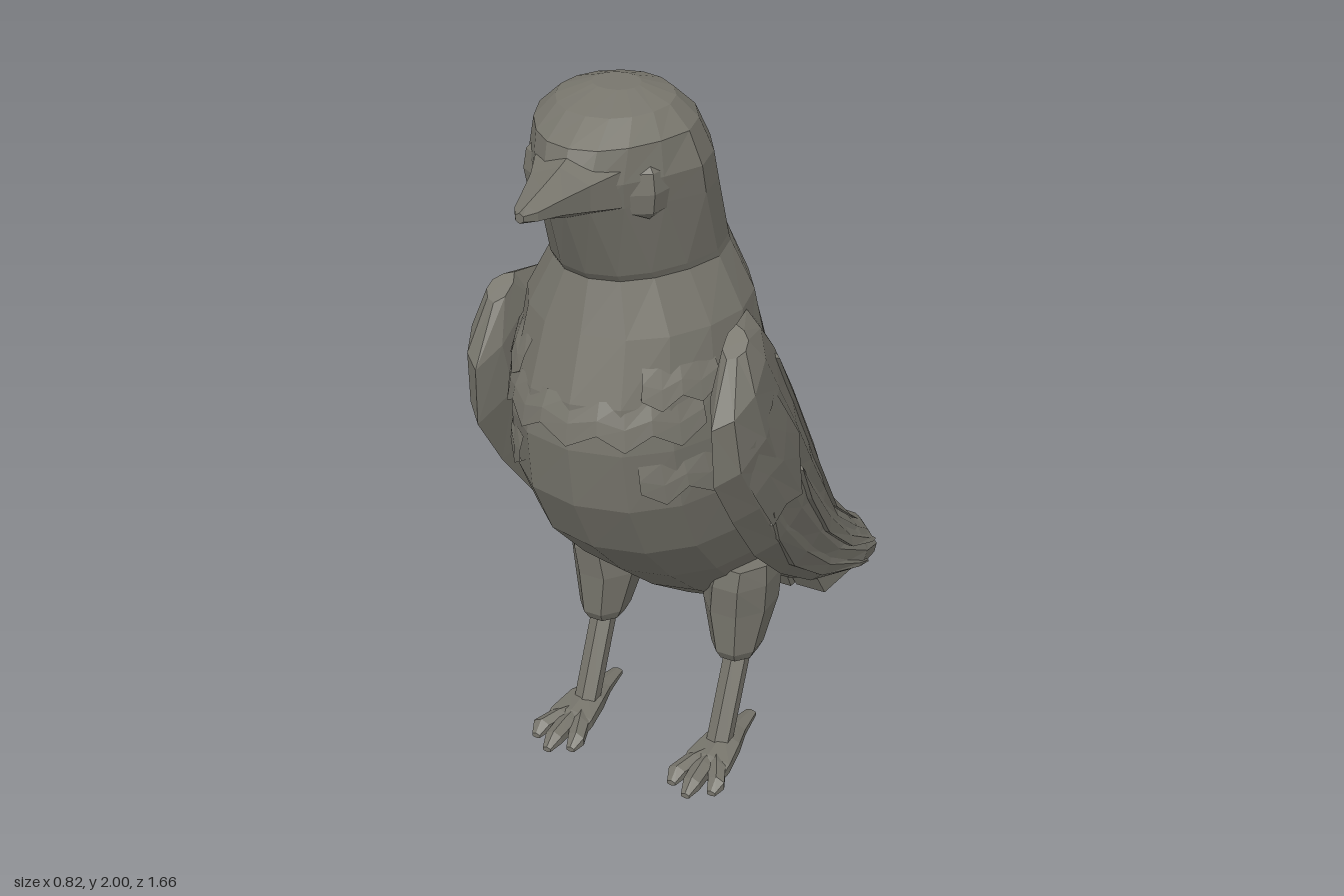
import * as THREE from 'three';

const V = (x, y, z) => new THREE.Vector3(x, y, z);
const lerp = THREE.MathUtils.lerp;
const material = new THREE.MeshStandardMaterial({ color: 0x77756c, flatShading: true, side: THREE.DoubleSide });

// Skin rows of points into a surface; closed rows get capped and faced outwards.
function loft(name, rows, closed = true) {
  const n = rows[0].length, pts = rows.flat(), idx = [];
  const cols = closed ? n : n - 1;
  for (let i = 0; i < rows.length - 1; i++) {
    for (let j = 0; j < cols; j++) {
      const a = i * n + j, b = i * n + (j + 1) % n;
      idx.push(a, b, a + n, b, b + n, a + n);
    }
  }
  if (closed) {
    [0, rows.length - 1].forEach((r, end) => {
      const c = pts.length;
      pts.push(rows[r].reduce((s, p) => s.add(p), V(0, 0, 0)).divideScalar(n));
      for (let j = 0; j < n; j++) {
        const a = r * n + j, b = r * n + (j + 1) % n;
        if (end) idx.push(c, a, b); else idx.push(c, b, a);
      }
    });
    let volume = 0;
    for (let i = 0; i < idx.length; i += 3)
      volume += pts[idx[i]].dot(V(0, 0, 0).crossVectors(pts[idx[i + 1]], pts[idx[i + 2]]));
    if (volume < 0) idx.reverse();
  }
  const geometry = new THREE.BufferGeometry().setFromPoints(pts);
  geometry.setIndex(idx);
  geometry.computeVertexNormals();
  const mesh = new THREE.Mesh(geometry, material);
  mesh.name = name;
  return mesh;
}

// Elliptical ring, lying flat or upright facing z.
function ring(x, y, z, rx, r, n, upright) {
  return Array.from({ length: n }, (_, i) => {
    const a = (i + 0.5) / n * Math.PI * 2, u = Math.cos(a) * rx, v = Math.sin(a) * r;
    return upright ? V(x + u, Math.max(0, y + v), z) : V(x + u, y, z + v);
  });
}

// Body sections: front z, front y, back z, back y, half width, front pinch
const BODY = [
  [0.43, 1.992, 0.33, 1.997, 0.06, 0], [0.53, 1.96, 0.25, 1.972, 0.145, 0.1],
  [0.61, 1.91, 0.19, 1.92, 0.2, 0.25], [0.645, 1.83, 0.14, 1.83, 0.23, 0.42],
  [0.64, 1.77, 0.105, 1.74, 0.23, 0.45], [0.55, 1.57, 0.04, 1.57, 0.222, 0.22],
  [0.535, 1.55, 0.032, 1.55, 0.222, 0.22], [0.58, 1.42, -0.015, 1.42, 0.285, 0.1],
  [0.64, 1.26, -0.09, 1.25, 0.305, 0.05], [0.655, 1.14, -0.145, 1.12, 0.315, 0.02],
  [0.635, 0.97, -0.22, 0.95, 0.32, 0], [0.55, 0.8, -0.3, 0.79, 0.315, 0],
  [0.4, 0.64, -0.37, 0.67, 0.3, 0], [0.23, 0.49, -0.44, 0.57, 0.28, 0],
  [0.02, 0.335, -0.52, 0.45, 0.235, 0], [-0.3, 0.225, -0.61, 0.31, 0.18, 0],
  [-0.55, 0.05, -0.74, 0.09, 0.14, 0],
];

function bodyPoint(s, a, off = 0) {
  const i = Math.min(Math.floor(s), BODY.length - 2);
  const [fz, fy, bz, by, w, pinch] = BODY[i].map((v, k) => lerp(v, BODY[i + 1][k], s - i));
  const c = Math.cos(a), q = Math.sin(a);
  const x = w * Math.sign(q) * Math.abs(q) ** (c < 0 ? 1.05 : 0.88) * (1 - pinch * Math.max(0, c));
  return V(x + off * q, lerp(by, fy, (c + 1) / 2), lerp(bz, fz, (c + 1) / 2) + off * c);
}

// Overlapping breast feathers with a zigzag hem, between two angles round the body
function breastTier(top, hem, zig, from, to, teeth) {
  const row = (f, off) => Array.from({ length: teeth + 1 }, (_, j) =>
    bodyPoint(lerp(top, hem + (j % 2 ? zig : -zig), f), lerp(from, to, j / teeth), off));
  return loft('breastFeathers', [row(0, -0.005), row(0.5, 0.008), row(1, 0.012), row(1, -0.015)], false);
}

// Wing sections: upper edge x, y, z, lower edge x, y, z, outward bulge
const WING = [
  [0.31, 1.425, 0.37, 0.325, 1.37, 0.45, 0.045], [0.285, 1.41, 0.26, 0.33, 1.22, 0.54, 0.09],
  [0.26, 1.31, 0.14, 0.335, 1.06, 0.535, 0.107], [0.235, 1.13, -0.01, 0.335, 0.9, 0.43, 0.112],
  [0.205, 0.93, -0.17, 0.325, 0.71, 0.28, 0.112], [0.165, 0.72, -0.335, 0.31, 0.53, 0.08, 0.11],
  [0.12, 0.49, -0.5, 0.3, 0.365, -0.15, 0.105], [0.085, 0.31, -0.67, 0.295, 0.23, -0.43, 0.108],
  [0.1, 0.21, -0.765, 0.265, 0.16, -0.63, 0.085], [0.15, 0.16, -0.83, 0.2, 0.125, -0.795, 0.012],
];

function wingPoint(side, s, t, off = 0) {
  const i = Math.min(Math.floor(s), WING.length - 2);
  const [ux, uy, uz, lx, ly, lz, b] = WING[i].map((v, k) => lerp(v, WING[i + 1][k], s - i));
  return V(side * (lerp(ux, lx, t) + b * Math.sin(Math.PI * t) ** 0.6 + off), lerp(uy, ly, t), lerp(uz, lz, t));
}

function makeWing(side) {
  const wing = new THREE.Group();
  wing.name = side > 0 ? 'leftWing' : 'rightWing';
  const steps = [0, 0.12, 0.35, 0.65, 0.88, 1];
  wing.add(loft('wingSurface', WING.map((w, s) => [
    ...steps.map(t => wingPoint(side, s, t)),
    ...[0.75, 0.3].map(t => wingPoint(side, s, t, -w[6] - 0.01)),
  ])));
  // Long flight feathers lying along the wing
  [[0.16, 2, 8.2], [0.5, 3.5, 7.9], [0.82, 3.3, 7.2]].forEach(([t, from, to]) => {
    const rows = [0, 0.15, 0.4, 0.65, 0.9, 1].map(f => {
      const s = lerp(from, to, f), h = 0.02 + 0.1 * Math.sin(Math.PI * f);
      return [[t - h, -0.012], [t, 0.004], [t + h, 0.008], [t + h, -0.012]]
        .map(([u, off]) => wingPoint(side, s, THREE.MathUtils.clamp(u, 0, 1), off));
    });
    wing.add(loft('flightFeather', rows));
  });
  // Short coverts with a jagged hem
  const cols = [0.4, 0.5, 0.62, 0.75, 0.88];
  const hem = [3.0, 3.2, 3.7, 3.4, 3.5];
  const row = (f, off) => cols.map((t, j) => wingPoint(side, lerp(1.8, hem[j], f), t, off));
  wing.add(loft('coverts', [row(0, -0.004), row(0.5, 0.004), row(1, 0.01), row(1, -0.015)], false));
  return wing;
}

function makeLeg(side) {
  const leg = new THREE.Group();
  leg.name = side > 0 ? 'leftLeg' : 'rightLeg';
  const x = side * 0.21;
  leg.add(loft('thigh', [
    [0.59, 0.22, 0.1, 0.085, 0.12], [0.53, 0.212, 0.1, 0.097, 0.13], [0.44, 0.203, 0.1, 0.1, 0.12],
    [0.31, 0.207, 0.128, 0.07, 0.083], [0.28, 0.207, 0.13, 0.055, 0.062],
  ].map(([y, cx, z, rx, rz]) => ring(side * cx, y, z, rx, rz, 8))));
  leg.add(loft('shank', [[0.3, 0.12], [0.03, 0.245]]
    .map(([y, z]) => ring(x, y, z, 0.037, 0.037, 6))));
  leg.add(loft('footPad', [[0.05, 0.018, 0.01], [0.15, 0.035, 0.02], [0.23, 0.06, 0.032], [0.32, 0.075, 0.027], [0.37, 0.07, 0.015]]
    .map(([z, rx, ry]) => ring(x + side * 0.006, ry * 0.87, z, rx, ry, 6, true))));
  // Three toes pointing forward
  [[-0.052, 0.43], [0.006, 0.46], [0.064, 0.42]].forEach(([dx, endZ]) => {
    const rows = [[0, 0.024, 0.024], [0.45, 0.031, 0.027], [0.8, 0.028, 0.023], [1, 0.014, 0.009]];
    leg.add(loft('toe', rows.map(([f, rx, ry]) =>
      ring(x + side * dx * Math.min(1, f * 1.3), ry * 0.87, lerp(0.26, endZ, f), rx, ry, 6, true))));
  });
  return leg;
}

// Tail feather: broad blade running down to the ground
function tailFeather(x0, x1, half, lift) {
  const rows = [[0.38, -0.37, 0.7], [0.24, -0.53, 1], [0.1, -0.65, 1.05], [0, -0.7, 1]].map(([y, z, w], i) => {
    const x = lerp(x0, x1, i / 3), h = half * w, d = [0.06, 0.075, 0.08, 0.09][i] + lift;
    return [[-h, 0.65], [-h * 0.5, 0.95], [h * 0.5, 0.95], [h, 0.65], [h * 0.7, -1.1], [-h * 0.7, -1.1]]
      .map(([u, v]) => V(x + u, y + (i < 3 ? v * 0.03 : 0), z - v * d));
  });
  return loft('tailFeather', rows);
}

export function createModel() {
  const bird = new THREE.Group();
  bird.name = 'bird';

  bird.add(loft('body', BODY.map((_, s) =>
    Array.from({ length: 16 }, (_, j) => bodyPoint(s, j / 16 * Math.PI * 2)))));
  bird.add(breastTier(7.9, 8.7, 0.17, -1.05, 1.05, 10));

  // Beak with a ridged top and blunt tip
  bird.add(loft('beak', [
    [1.815, 0.57, 0.13, 0.09], [1.818, 0.65, 0.09, 0.063], [1.824, 0.73, 0.06, 0.038],
    [1.826, 0.8, 0.035, 0.021], [1.828, 0.83, 0.012, 0.013],
  ].map(([y, z, rx, ry]) => ring(0, y, z, rx, ry, 6, true))));

  for (const side of [1, -1]) {
    // Faceted diamond eye set in the side of the head
    const eye = new THREE.Mesh(new THREE.SphereGeometry(0.07, 4, 4), material);
    eye.name = 'eye';
    eye.position.copy(bodyPoint(3.5, side * 1.05, -0.008));
    eye.scale.set(0.4, 1, 0.9);
    eye.rotation.y = -side * 0.6;
    bird.add(eye, makeWing(side), makeLeg(side), tailFeather(side * 0.08, side * 0.105, 0.068, 0));
    // Side tufts above and below the breast band
    bird.add(breastTier(7.4, 7.95, 0.1, side * 0.55, side * 1.2, 4));
    bird.add(breastTier(9.2, 9.75, 0.12, side * 0.5, side * 1.2, 4));
  }
  bird.add(tailFeather(0, 0, 0.065, 0.015));
  return bird;
}
